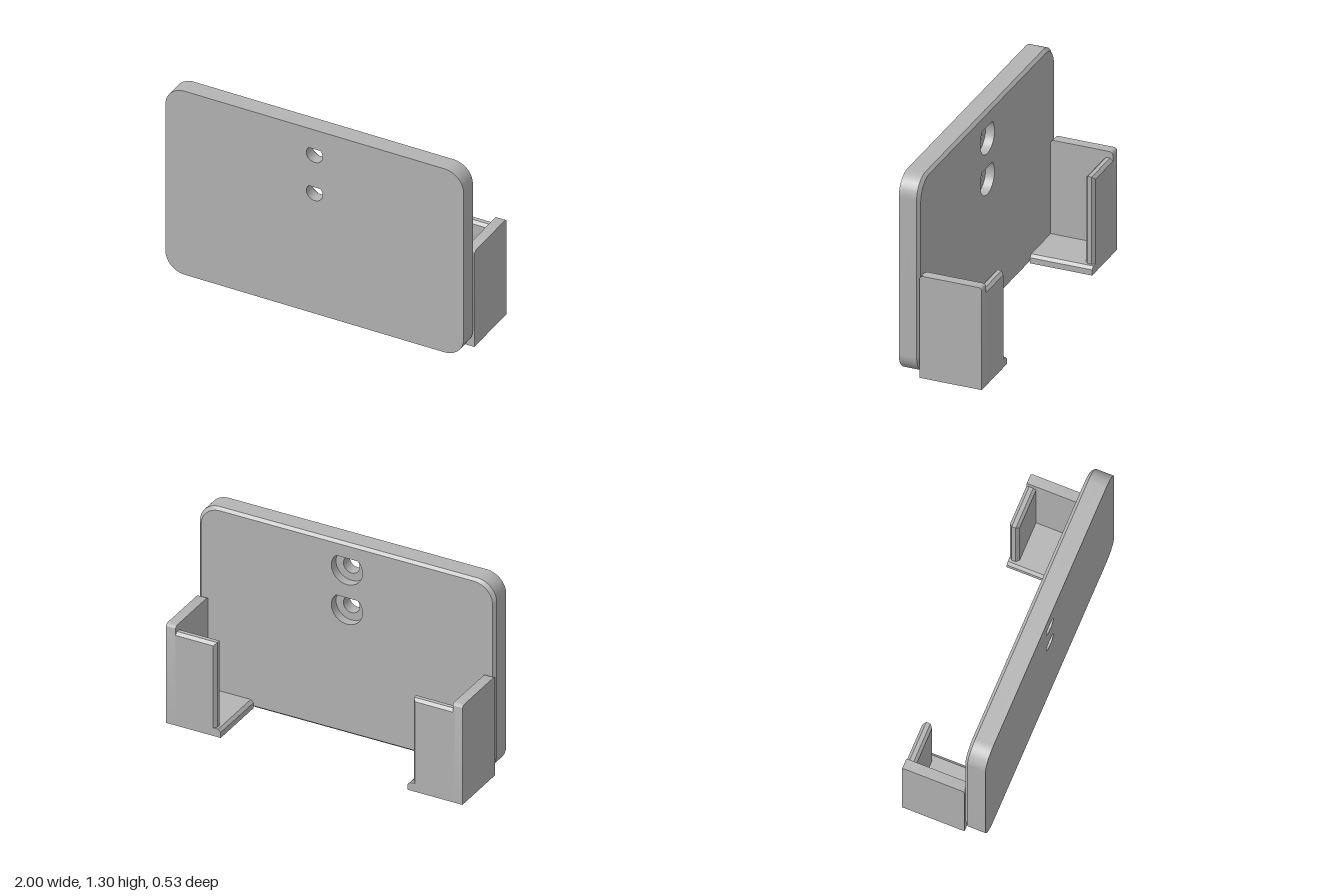
import * as THREE from 'three';
import { toCreasedNormals } from 'three/addons/utils/BufferGeometryUtils.js';

const BACK = -0.267, JOINT = 0.133, FRONT = 0.267, HEIGHT = 1.3;

// rectangle with a separate radius for the bottom and top corners
function roundedRect(x0, y0, x1, y1, rb, rt) {
  const s = new THREE.Shape();
  s.moveTo(x0 + rb, y0);
  s.lineTo(x1 - rb, y0);
  if (rb) s.absarc(x1 - rb, y0 + rb, rb, -Math.PI / 2, 0);
  s.lineTo(x1, y1 - rt);
  if (rt) s.absarc(x1 - rt, y1 - rt, rt, 0, Math.PI / 2);
  s.lineTo(x0 + rt, y1);
  if (rt) s.absarc(x0 + rt, y1 - rt, rt, Math.PI / 2, Math.PI);
  s.lineTo(x0, y0 + rb);
  if (rb) s.absarc(x0 + rb, y0 + rb, rb, Math.PI, Math.PI * 1.5);
  return s;
}

// round hole with a 45 degree pointed top
function teardrop(y, r) {
  const p = new THREE.Path();
  p.moveTo(0, y + r * Math.SQRT2);
  p.absarc(0, y, r, Math.PI * 0.75, Math.PI * 2.25, false);
  p.closePath();
  return p;
}

function extrude(shape, depth, options = {}) {
  return new THREE.ExtrudeGeometry(shape, { depth, bevelEnabled: false, curveSegments: 16, ...options });
}

// one slice of the plate, between two depths, pierced by both screw holes
function plateLayer(z0, z1, holeRadius) {
  const shape = roundedRect(-1, 0, 1, HEIGHT, 0.13, 0.13);
  for (const y of [1.125, 0.855]) shape.holes.push(teardrop(y, holeRadius));
  return extrude(shape, z1 - z0).translate(0, 0, z0);
}

export function createModel() {
  const model = new THREE.Group();
  model.name = 'wallHolder';
  const grey = new THREE.MeshStandardMaterial({ color: 0xb4b4b4 });
  grey.name = 'grey';

  const add = (parent, name, geometry) => {
    const mesh = new THREE.Mesh(toCreasedNormals(geometry, 0.5), grey);
    mesh.name = name;
    parent.add(mesh);
  };

  // plate: narrow holes in front, wide counterbores behind
  const plate = new THREE.Group();
  plate.name = 'plate';
  model.add(plate);
  add(plate, 'plateFront', plateLayer(0.19, FRONT, 0.055));
  add(plate, 'plateMiddle', plateLayer(0.152, 0.19, 0.105));

  // chamfered back rim: pull the rear outline inward
  const rim = plateLayer(JOINT, 0.152, 0.105);
  const pos = rim.attributes.position;
  for (let i = 0; i < pos.count; i++) {
    const x = pos.getX(i), y = pos.getY(i);
    if (pos.getZ(i) < 0.14 && Math.abs(x) > 0.5) {
      pos.setX(i, x * 0.983);
      pos.setY(i, HEIGHT / 2 + (y - HEIGHT / 2) * 0.974);
    }
  }
  add(plate, 'plateBackRim', rim);

  // two mirrored corner brackets behind the plate
  for (const s of [1, -1]) {
    const bracket = new THREE.Group();
    bracket.name = s > 0 ? 'leftBracket' : 'rightBracket';
    model.add(bracket);

    // outer side wall with rounded top corners
    const side = extrude(roundedRect(BACK, 0, JOINT, 0.675, 0, 0.022), 0.065);
    side.rotateY(-Math.PI / 2).translate(s > 0 ? 1 : -0.935, 0, 0);
    add(bracket, 'sideWall', side);

    // floor with a chamfered inner edge
    const profile = [[0.63, 0], [1, 0], [1, 0.055], [0.648, 0.055], [0.63, 0.037]];
    const floor = new THREE.Shape(profile.map(([x, y]) => new THREE.Vector2(x * s, y)));
    add(bracket, 'floor', extrude(floor, JOINT - BACK).translate(0, 0, BACK));

    // rear retaining wall, bevelled on its free edges
    const b = 0.018, xs = [s * (0.663 + b), s * 0.95];
    const rear = roundedRect(Math.min(...xs), 0.03, Math.max(...xs), 0.632 - b, 0, 0);
    add(bracket, 'rearWall', extrude(rear, 0.062 - 2 * b, {
      bevelEnabled: true, bevelThickness: b, bevelSize: b, bevelSegments: 1,
    }).translate(0, 0, BACK + b));
  }
  return model;
}
